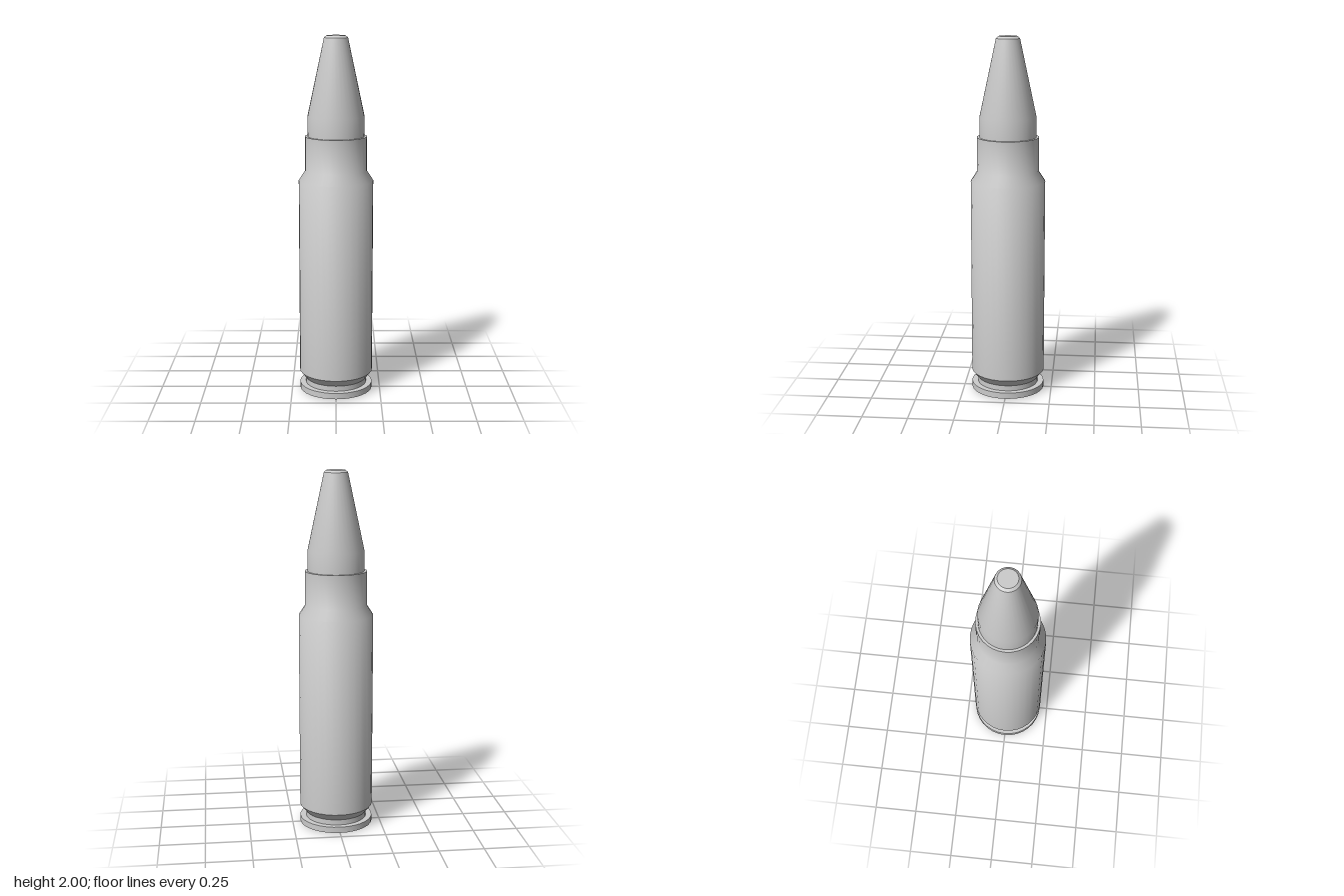
import * as THREE from 'three';
import { toCreasedNormals } from 'three/addons/utils/BufferGeometryUtils.js';

const SIDES = 32;
const material = new THREE.MeshStandardMaterial({ color: 0xcccccc });

// Turns a [radius, height] profile, listed from bottom to top, about the y axis
function turned(name, profile) {
  const points = profile.map(([r, y]) => new THREE.Vector2(r, y));
  const geometry = toCreasedNormals(new THREE.LatheGeometry(points, SIDES), 0.63);
  const mesh = new THREE.Mesh(geometry, material);
  mesh.name = name;
  return mesh;
}

export function createModel() {
  const group = new THREE.Group();
  group.name = 'cartridge';

  // Case: base with primer pocket, rim, extractor groove, body, shoulder, neck and mouth
  group.add(turned('case', [
    [0, 0.02], [0.128, 0.02], [0.128, 0.004],
    [0.205, 0.004], [0.205, 0.038],
    [0.172, 0.038], [0.172, 0.068],
    [0.206, 0.11], [0.206, 1.21],
    [0.17, 1.265], [0.17, 1.455],
    [0.155, 1.455],
  ]));

  // Bullet: short straight shank, tapered nose and bevelled flat tip
  group.add(turned('bullet', [
    [0.156, 1.44], [0.156, 1.565],
    [0.065, 1.988], [0.051, 2], [0, 2],
  ]));

  // Primer: shallow disc with a bevelled edge set in the base
  group.add(turned('primer', [
    [0, 0], [0.111, 0], [0.118, 0.006], [0.118, 0.02],
  ]));

  return group;
}
